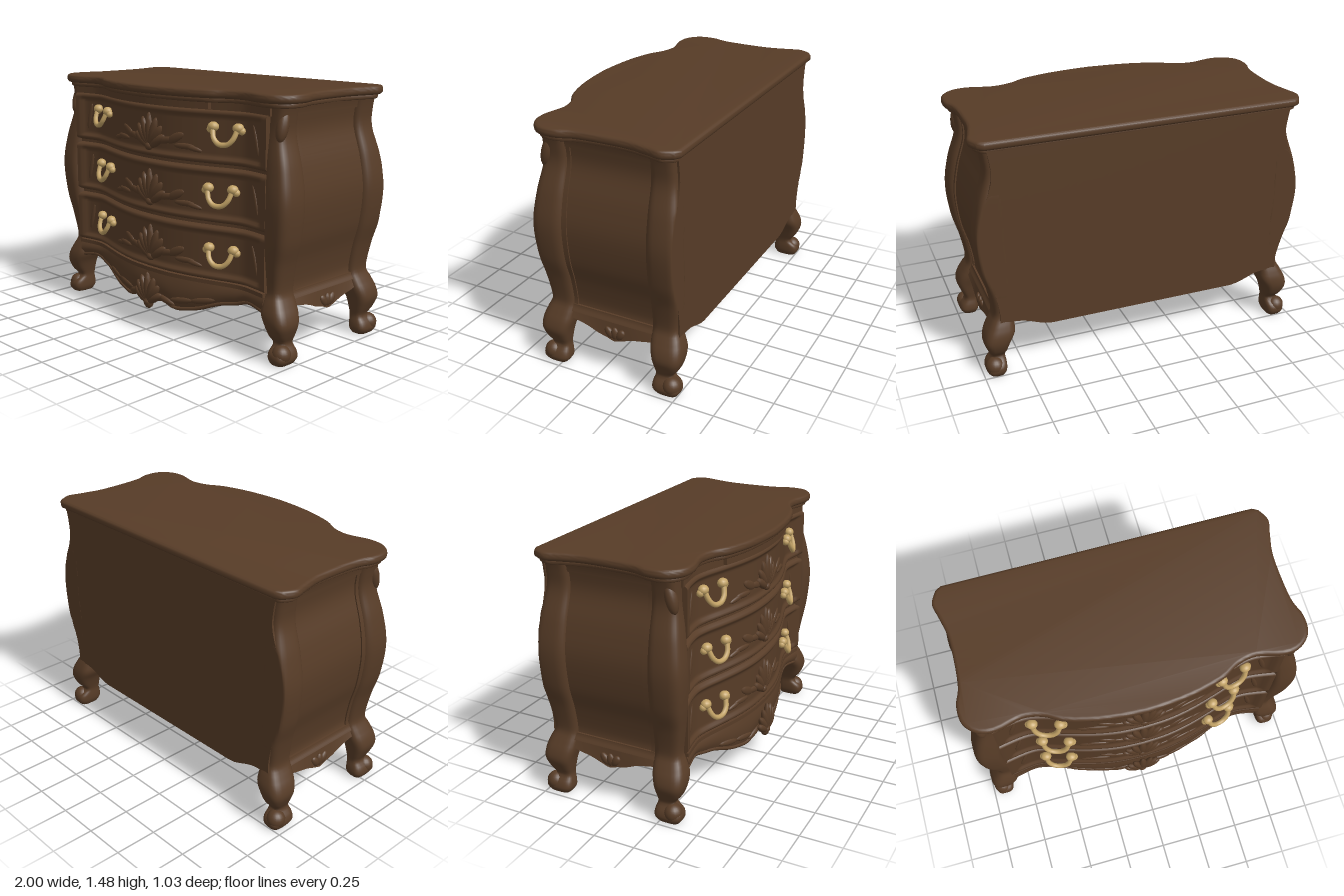
import * as THREE from 'three';
import { toCreasedNormals } from 'three/addons/utils/BufferGeometryUtils.js';

const wood = new THREE.MeshStandardMaterial({ color: 0x573c27 });
wood.name = 'walnut wood';
const brass = new THREE.MeshStandardMaterial({ color: 0xc2a266 });
brass.name = 'aged brass';

// Smooth function through [input, value] points with rising inputs
function profile(points) {
  const samples = new THREE.SplineCurve(points.map(p => new THREE.Vector2(...p))).getPoints(120);
  return (u) => {
    if (u <= samples[0].x) return samples[0].y;
    for (let i = 1; i < samples.length; i++) {
      const a = samples[i - 1], b = samples[i];
      if (u <= b.x) return a.y + (b.y - a.y) * (u - a.x) / (b.x - a.x || 1);
    }
    return samples[samples.length - 1].y;
  };
}
const smooth = THREE.MathUtils.smoothstep;

// Serpentine front: depth at each x
const frontZ = profile([[0, 0.455], [0.15, 0.447], [0.3, 0.42], [0.45, 0.378], [0.58, 0.338], [0.68, 0.325], [0.85, 0.35]]);
const front = x => frontZ(Math.abs(x));

// Corner post and leg, by height: y, inner x, outer x, inner z, outer z
const postRows = [
  [0, 0.875, 0.965, 0.23, 0.36], [0.03, 0.862, 0.982, 0.21, 0.378], [0.07, 0.86, 0.972, 0.212, 0.37],
  [0.11, 0.862, 0.945, 0.222, 0.325], [0.16, 0.85, 0.965, 0.215, 0.36], [0.22, 0.83, 0.985, 0.205, 0.383],
  [0.28, 0.80, 0.972, 0.19, 0.382], [0.34, 0.80, 0.94, 0.185, 0.362], [0.40, 0.80, 0.917, 0.185, 0.342],
  [0.55, 0.81, 0.94, 0.185, 0.36], [0.7, 0.82, 0.98, 0.185, 0.38], [0.9, 0.83, 0.998, 0.185, 0.39],
  [1.08, 0.82, 0.97, 0.185, 0.37], [1.25, 0.80, 0.92, 0.185, 0.34], [1.36, 0.80, 0.925, 0.185, 0.335],
  [1.43, 0.80, 0.94, 0.185, 0.335]];
const [xIn, xOut, zIn, zOut] = [1, 2, 3, 4].map(c => profile(postRows.map(r => [r[0], r[c]])));

function add(parent, name, geometry, material = wood) {
  const mesh = new THREE.Mesh(geometry, material);
  mesh.name = name;
  parent.add(mesh);
  return mesh;
}

// Move every vertex by a rule, then rebuild the normals
function warp(geometry, rule) {
  const p = geometry.attributes.position, v = new THREE.Vector3();
  for (let i = 0; i < p.count; i++) {
    rule(v.fromBufferAttribute(p, i));
    p.setXYZ(i, v.x, v.y, v.z);
  }
  geometry.computeVertexNormals();
  return geometry;
}
const onFront = g => warp(g, v => { v.z += front(v.x); });

// Post and cabriole leg lofted from rounded-square rings
function postGeometry(sx, sz) {
  const pos = [], index = [], N = 28, M = 72, pow = c => Math.sign(c) * Math.abs(c) ** 0.62;
  for (let i = 0; i <= M; i++) {
    const y = 1.43 * (1 - i / M) ** 1.25;
    for (let j = 0; j < N; j++) {
      const a = j / N * Math.PI * 2;
      const x = (xIn(y) + xOut(y)) / 2 + (xOut(y) - xIn(y)) / 2 * pow(Math.cos(a));
      let z = (zIn(y) + zOut(y)) / 2 + (zOut(y) - zIn(y)) / 2 * pow(Math.sin(a));
      if (sz < 0) z = Math.max(-z - 0.135, y > 0.36 ? -0.488 : -0.52);
      pos.push(sx * x, y, z);
      if (i === M) continue;
      const p = i * N + j, q = i * N + (j + 1) % N;
      index.push(p, q, p + N, q, q + N, p + N);
    }
  }
  pos.push(sx * 0.92, 0, sz > 0 ? 0.295 : -0.43);
  for (let j = 0; j < N; j++) index.push((M + 1) * N, M * N + j, M * N + (j + 1) % N);
  if (sx * sz < 0) for (let i = 0; i < index.length; i += 3) [index[i], index[i + 1]] = [index[i + 1], index[i]];
  const g = new THREE.BufferGeometry();
  g.setAttribute('position', new THREE.Float32BufferAttribute(pos, 3));
  g.setIndex(index);
  g.computeVertexNormals();
  return g;
}

// Flattened carved lobe pointing along an angle, bent onto the front
function lobe(x, y, length, width, depth, angle, z = 0) {
  const g = new THREE.SphereGeometry(1, 14, 10);
  g.scale(length / 2, width / 2, depth).rotateZ(angle);
  g.translate(x + Math.cos(angle) * length / 2, y + Math.sin(angle) * length / 2, z);
  return onFront(g);
}

// Fan shell with seven ribs; dir 1 opens upward
function carveShell(parent, y, size, z) {
  const shell = new THREE.Group();
  shell.name = 'carvedShell';
  for (let i = -3; i <= 3; i++) {
    const length = size * (1 - 0.09 * Math.abs(i));
    add(shell, 'shellRib', lobe(0, y, length, size * 0.27, 0.022, Math.PI / 2 + i * 0.34, z));
  }
  add(shell, 'shellBase', lobe(-size * 0.16, y + 0.005, size * 0.32, size * 0.25, 0.024, 0, z));
  parent.add(shell);
}

function carveLeaves(parent, y) {
  for (const s of [-1, 1]) {
    [[0.07, 0, 0.13, 0.04, 0.2], [0.15, 0.005, 0.13, 0.05, 0.45], [0.2, -0.01, 0.14, 0.035, 0.02], [0.27, -0.005, 0.12, 0.03, -0.2]]
      .forEach(([x, dy, l, w, a]) => add(parent, 'carvedLeaf', lobe(s * x, y + dy, l, w, 0.011, s > 0 ? a : Math.PI - a)));
  }
}

function handle(x, y) {
  const g = new THREE.Group();
  g.name = 'drawerHandle';
  g.position.set(x, y, front(x));
  g.rotation.y = -Math.atan2(front(x + 0.08) - front(x - 0.08), 0.16);
  const path = [[-0.078, 0.04, 0.03], [-0.06, -0.015, 0.05], [-0.025, -0.045, 0.058], [0.025, -0.045, 0.058], [0.06, -0.015, 0.05], [0.078, 0.04, 0.03]];
  const curve = new THREE.CatmullRomCurve3(path.map(p => new THREE.Vector3(...p)));
  add(g, 'bail', new THREE.TubeGeometry(curve, 28, 0.015, 8), brass);
  for (const s of [-1, 1]) {
    add(g, 'rosette', new THREE.SphereGeometry(0.033, 14, 10).scale(1, 0.85, 0.9).translate(s * 0.078, 0.045, 0.022), brass);
    add(g, 'rosetteLeaf', new THREE.SphereGeometry(0.022, 10, 8).translate(s * 0.098, 0.03, 0.018), brass);
  }
  return g;
}

export function createModel() {
  const model = new THREE.Group();
  model.name = 'bombeChest';

  // Shaped top with moulded edge and a smaller cornice under it
  const half = [[0, 0.51], [0.15, 0.5], [0.3, 0.478], [0.45, 0.435], [0.55, 0.38], [0.66, 0.36], [0.8, 0.392], [0.9, 0.38], [0.975, 0.31],
    [0.985, 0.2], [0.95, 0.08], [0.942, -0.18], [0.97, -0.33], [0.99, -0.42], [0.955, -0.495]];
  const edge = new THREE.SplineCurve(half.map(p => new THREE.Vector2(...p))).getPoints(70);
  edge.push(new THREE.Vector2(0.92, -0.515));
  const outline = [...edge, ...edge.slice(1).reverse().map(p => new THREE.Vector2(-p.x, p.y))];
  const slab = (y0, y1, bevel, inset) => {
    const g = new THREE.ExtrudeGeometry(new THREE.Shape(outline), { depth: y1 - y0 - 2 * bevel, bevelThickness: bevel,
      bevelSize: bevel, bevelOffset: -bevel - inset, bevelSegments: 4, curveSegments: 1 });
    return toCreasedNormals(g.rotateX(Math.PI / 2).translate(0, y1 - bevel, 0), 0.6);
  };
  add(model, 'top', slab(1.43, 1.48, 0.02, 0));
  add(model, 'cornice', slab(1.405, 1.435, 0.01, 0.027));

  // Posts, legs and scrolled feet
  for (const sx of [-1, 1]) for (const sz of [-1, 1]) {
    add(model, sz > 0 ? 'frontLegPost' : 'backLegPost', postGeometry(sx, sz));
    add(model, 'footScroll', new THREE.SphereGeometry(0.055, 18, 14).translate(sx * 0.932, 0.056, sz > 0 ? 0.32 : -0.46));
    if (sz > 0) {
      const scroll = new THREE.SphereGeometry(1, 16, 12).scale(0.035, 0.09, 0.035).rotateX(-0.25);
      add(model, 'postScroll', scroll.translate(sx * 0.9, 1.31, 0.305));
    }
  }

  // Curved sides with rails and a scalloped apron
  const sideX = y => xOut(y) - 0.035;
  const sideBottom = profile([[-0.4, 0.32], [-0.3, 0.29], [-0.21, 0.27], [-0.14, 0.245], [-0.09, 0.23], [-0.04, 0.245], [0.02, 0.26], [0.1, 0.29], [0.25, 0.32]]);
  for (const s of [-1, 1]) {
    const side = (name, y0, y1, out, z0 = -0.4, z1 = 0.25) => add(model, name, warp(
      new THREE.BoxGeometry(0.03, y1 - y0, z1 - z0, 1, 30, 1).translate(0, (y0 + y1) / 2, (z0 + z1) / 2),
      v => { v.x += s * (sideX(v.y) - 0.015 + out); }));
    side('sidePanel', 0.36, 1.42, 0);
    side('sideTopRail', 1.36, 1.42, 0.012);
    side('sideBottomRail', 0.345, 0.385, 0.014);
    side('sideFrontBead', 0.37, 1.37, 0.008, 0.165, 0.2);
    side('sideBackBead', 0.37, 1.37, 0.008, -0.36, -0.335);
    add(model, 'sideApron', warp(new THREE.BoxGeometry(0.03, 1, 0.65, 1, 6, 40).translate(0, 0, -0.075), v => {
      const t = v.y + 0.5;
      v.y = THREE.MathUtils.lerp(sideBottom(v.z), 0.36, t);
      v.x += s * (0.885 + 0.025 * (1 - t));
    }));
    for (const k of [-1, 0, 1]) add(model, 'sideApronCarving', new THREE.SphereGeometry(1, 12, 8)
      .scale(0.018, 0.04, 0.025).rotateX(k * 0.6).translate(s * 0.915, 0.275, -0.09 + k * 0.035));
  }

  // Flat back with an arched lower edge
  add(model, 'back', warp(new THREE.BoxGeometry(2, 1, 0.012, 40, 40, 1), v => {
    const t = v.y + 0.5;
    const low = 0.29 + 0.06 * smooth(Math.abs(v.x), 0.65, 0.9);
    v.y = THREE.MathUtils.lerp(low, 1.42, t);
    v.x *= xOut(Math.max(v.y, 0.38)) - 0.03;
    v.z -= 0.482;
  }));

  // Floor of the case
  add(model, 'floor', warp(new THREE.BoxGeometry(1.74, 0.015, 1, 40, 1, 1), v => {
    v.y += 0.37;
    v.z = v.z > 0 ? front(v.x) - 0.03 : -0.478;
  }));

  // Three drawers with raised lips, carving and handles
  [[1.06, 1.37, 0.54, 1.215], [0.725, 1.045, 0.51, 0.87], [0.385, 0.71, 0.515, 0.525]].forEach(([y0, y1, hx, hy]) => {
    const drawer = new THREE.Group();
    drawer.name = 'drawer';
    const h = y1 - y0, mid = (y0 + y1) / 2;
    const face = new THREE.BoxGeometry(1.68, h, 0.06, 90, 30, 1).translate(0, 0, -0.03);
    add(drawer, 'drawerFront', onFront(warp(face, v => {
      const ty = Math.abs(v.y) / (h / 2), tx = Math.abs(v.x) / 0.84;
      const lip = Math.max(smooth(ty, 0.68, 0.86), smooth(tx, 0.92, 0.96));
      if (v.z > -0.01) v.z = 0.018 * lip - 0.032 * smooth(ty, 0.9, 1);
      v.y += mid;
    })));
    carveShell(drawer, mid - 0.1, 0.205, 0);
    carveLeaves(drawer, mid - 0.06);
    for (const s of [-1, 1]) {
      add(drawer, 'cornerLeaf', lobe(s * 0.755, mid - 0.08, 0.17, 0.03, 0.008, Math.PI / 2 + s * 0.25));
      drawer.add(handle(s * hx, hy + 0.015));
    }
    model.add(drawer);
  });

  // Rails above, between and below the drawers
  const rail = (name, w, y0, y1, out) => add(model, name, onFront(
    new THREE.BoxGeometry(w, y1 - y0, 0.07, 64, 1, 1).translate(0, (y0 + y1) / 2, out - 0.035)));
  rail('frieze', 1.7, 1.36, 1.42, 0);
  rail('friezeBlock', 0.88, 1.368, 1.412, 0.02);
  rail('upperDrawerRail', 1.68, 1.035, 1.07, -0.012);
  rail('lowerDrawerRail', 1.68, 0.70, 0.735, -0.012);
  rail('bottomMoulding', 1.66, 0.365, 0.388, 0.018);

  // Scalloped front apron with beaded edge and shell
  const bottom = profile([[0, 0.17], [0.1, 0.195], [0.2, 0.167], [0.3, 0.18], [0.38, 0.2], [0.5, 0.245], [0.6, 0.265], [0.7, 0.29], [0.84, 0.27]]);
  add(model, 'frontApron', onFront(warp(new THREE.BoxGeometry(1.66, 1, 0.04, 90, 10, 1).translate(0, 0, -0.02), v => {
    const t = v.y + 0.5;
    v.y = THREE.MathUtils.lerp(bottom(Math.abs(v.x)), 0.375, t);
    v.z += 0.018 * Math.sin(t * Math.PI) * (v.z > -0.01 ? 1 : 0);
  })));
  const bead = [];
  for (let x = -0.82; x < 0.83; x += 0.04) bead.push(new THREE.Vector3(x, bottom(Math.abs(x)) + 0.008, front(x) + 0.002));
  add(model, 'apronBead', new THREE.TubeGeometry(new THREE.CatmullRomCurve3(bead), 120, 0.012, 8));
  carveShell(model, 0.17, 0.19, 0.03);
  add(model, 'apronPendant', lobe(0, 0.22, 0.09, 0.07, 0.028, -Math.PI / 2, 0.022));
  for (const s of [-1, 1]) for (const [x, y, l, a] of [[0.06, 0.23, 0.15, -0.25], [0.17, 0.22, 0.17, 0.15], [0.32, 0.24, 0.16, 0.2]]) {
    add(model, 'apronLeaf', lobe(s * x, y, l, 0.04, 0.014, s > 0 ? a : Math.PI - a, 0.012));
  }
  return model;
}
